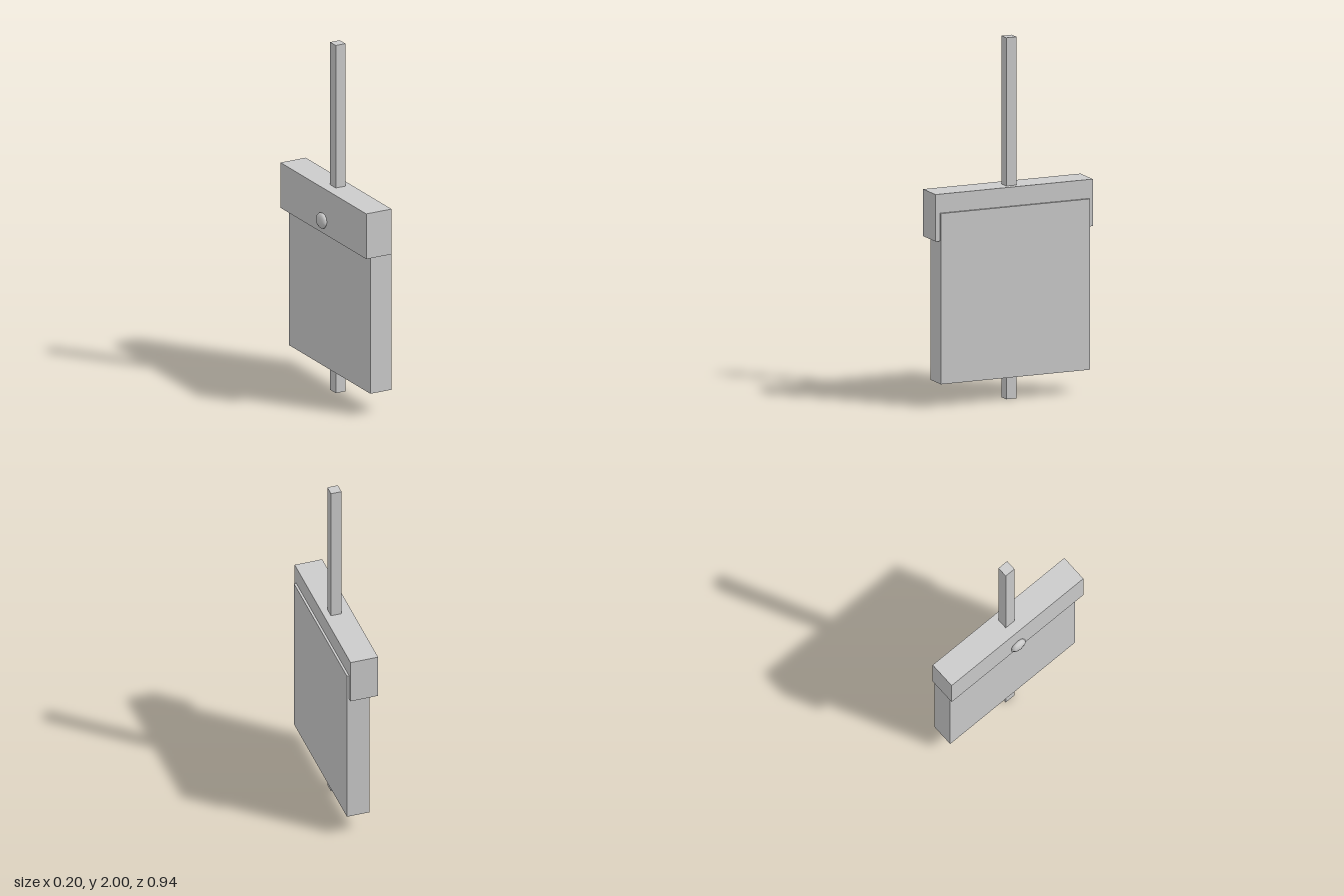
import * as THREE from 'three';

export function createModel() {
  const group = new THREE.Group();
  const grey = new THREE.MeshStandardMaterial({ color: 0xcccccc });
  grey.name = 'light grey';

  // Box given by its lower and upper corners
  function box(name, [x0, y0, z0], [x1, y1, z1]) {
    const geometry = new THREE.BoxGeometry(x1 - x0, y1 - y0, z1 - z0);
    const mesh = new THREE.Mesh(geometry, grey);
    mesh.name = name;
    mesh.position.set((x0 + x1) / 2, (y0 + y1) / 2, (z0 + z1) / 2);
    group.add(mesh);
  }

  // Square rod running through the whole model
  box('rod', [-0.01, 0, -0.032], [0.05, 2, 0.03]);
  // Wide flat panel
  box('panel', [-0.03, 0.13, -0.447], [0.1, 1.075, 0.445]);
  // Cross bar overlapping the panel's top edge
  box('crossBar', [-0.07, 0.92, -0.471], [0.087, 1.18, 0.471]);

  // Flattened low-poly knob on the bar's right face
  const knob = new THREE.Mesh(new THREE.SphereGeometry(1, 8, 6), grey);
  knob.name = 'knob';
  knob.scale.set(0.023, 0.045, 0.05);
  knob.position.set(-0.08, 0.995, -0.002);
  group.add(knob);

  return group;
}
